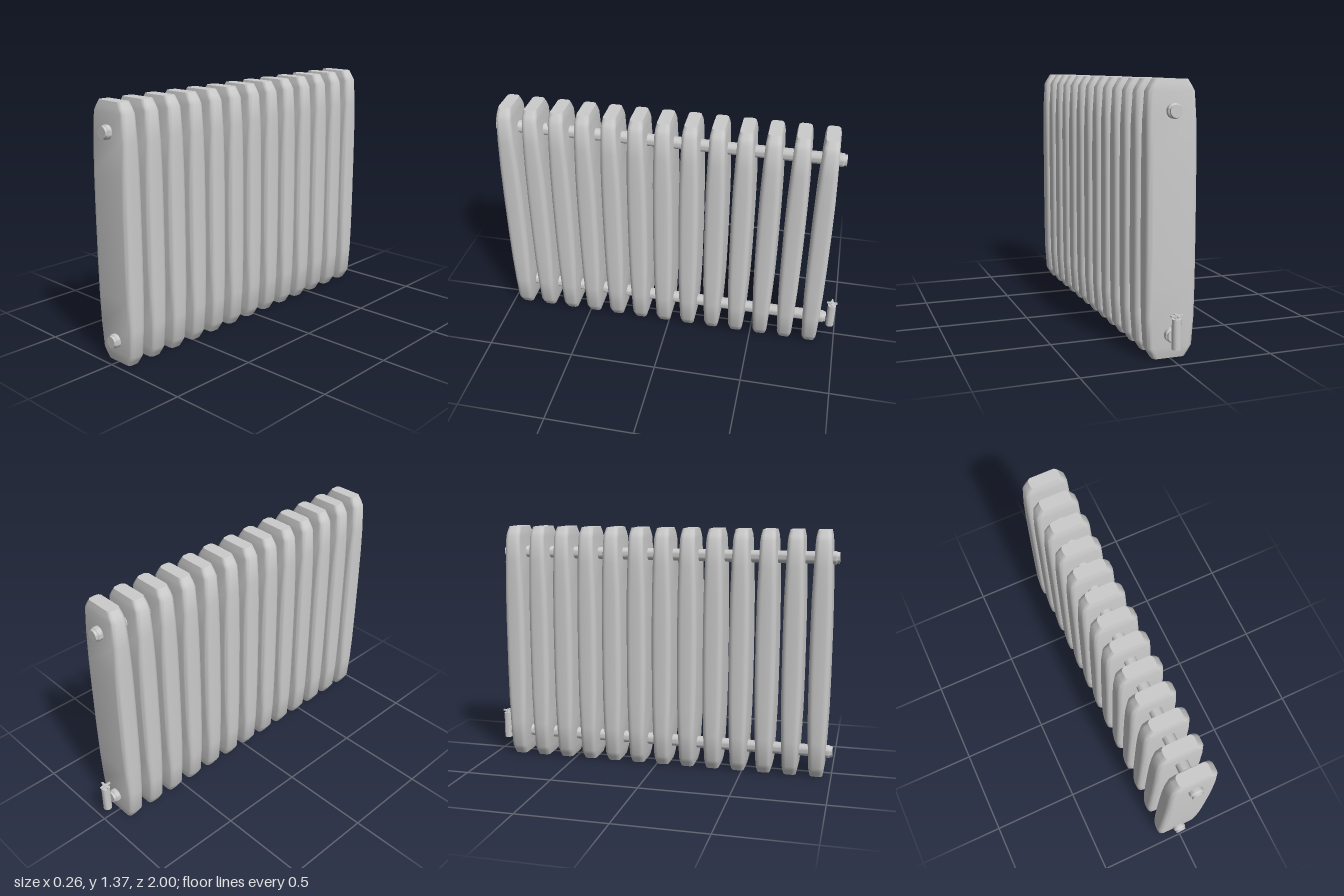
import * as THREE from 'three';
import { toCreasedNormals } from 'three/addons/utils/BufferGeometryUtils.js';

const FINS = 13, FIRST_Z = 0.917, PITCH = 0.1475, HEIGHT = 1.365;
const material = new THREE.MeshStandardMaterial({ color: 0xcccccc });

// Lower half of the fin: [height, half width, half depth]; the upper half mirrors it
const LOWER = [[0, 0.086, 0.035], [0.03, 0.105, 0.041], [0.057, 0.121, 0.043],
  [0.2, 0.13, 0.049], [0.36, 0.131, 0.054], [0.55, 0.131, 0.056]];

function finGeometry() {
  const rings = [...LOWER, ...LOWER.map(([y, w, d]) => [HEIGHT - y, w, d]).reverse()];
  const ARC = 5, n = 4 * (ARC + 1), pos = [], idx = [];
  // Rounded rectangle cross-sections stacked along y
  for (const [y, w, d] of rings) {
    const r = Math.min(0.03, d * 0.6);
    for (let c = 0; c < 4; c++) for (let k = 0; k <= ARC; k++) {
      const a = (c + k / ARC) * Math.PI / 2;
      const sx = c === 0 || c === 3 ? 1 : -1, sz = c < 2 ? 1 : -1;
      pos.push(sx * (w - r) + r * Math.cos(a), y, sz * (d - r) + r * Math.sin(a));
    }
  }
  for (let i = 0; i < rings.length - 1; i++) for (let j = 0; j < n; j++) {
    const a = i * n + j, b = i * n + (j + 1) % n;
    idx.push(a, a + n, b, b, a + n, b + n);
  }
  // Flat ends
  const top = (rings.length - 1) * n;
  for (let j = 1; j < n - 1; j++) {
    idx.push(0, j, j + 1);
    idx.push(top, top + j + 1, top + j);
  }
  const g = new THREE.BufferGeometry();
  g.setAttribute('position', new THREE.Float32BufferAttribute(pos, 3));
  g.setIndex(idx);
  return toCreasedNormals(g, 0.9);
}

function add(parent, name, geometry, x = 0, y = 0, z = 0) {
  const mesh = new THREE.Mesh(geometry, material);
  mesh.name = name;
  mesh.position.set(x, y, z);
  parent.add(mesh);
  return mesh;
}

// Lathed solid from [radius, height] points
function turned(points, sides) {
  const g = new THREE.LatheGeometry(points.map(p => new THREE.Vector2(...p)), sides);
  return toCreasedNormals(g, 0.6);
}

export function createModel() {
  const radiator = new THREE.Group();
  radiator.name = 'radiator';

  // Row of fins
  const fin = finGeometry();
  for (let i = 0; i < FINS; i++) add(radiator, 'fin', fin, 0, 0, FIRST_Z - i * PITCH);

  // Upper and lower connecting pipes with stepped end caps
  const pipe = turned([[0, -0.94], [0.031, -0.94], [0.031, -0.927], [0.037, -0.922],
    [0.037, -0.895], [0.034, -0.89], [0.034, 0.95], [0.037, 0.955],
    [0.037, 0.982], [0.031, 0.987], [0.031, 1], [0, 1]], 24);
  pipe.rotateX(Math.PI / 2);
  for (const y of [0.125, 1.215]) add(radiator, 'connectingPipe', pipe, 0, y, 0);

  // Valve at the lower back end
  const valve = new THREE.Group();
  valve.name = 'valve';
  valve.position.set(0, 0, -0.968);
  radiator.add(valve);
  add(valve, 'valveBody', turned([[0, 0.07], [0.024, 0.07], [0.024, 0.222], [0, 0.222]], 16));
  add(valve, 'valveStem', new THREE.CylinderGeometry(0.009, 0.012, 0.024, 10), 0, 0.231, 0);
  // Diamond-shaped handle with crossed bars
  add(valve, 'valveHandle', new THREE.CylinderGeometry(0.022, 0.026, 0.008, 4), 0, 0.234, 0);
  for (const turn of [0, Math.PI / 2]) {
    add(valve, 'handleBar', new THREE.BoxGeometry(0.062, 0.009, 0.01), 0, 0.236, 0).rotation.y = turn;
  }
  return radiator;
}
